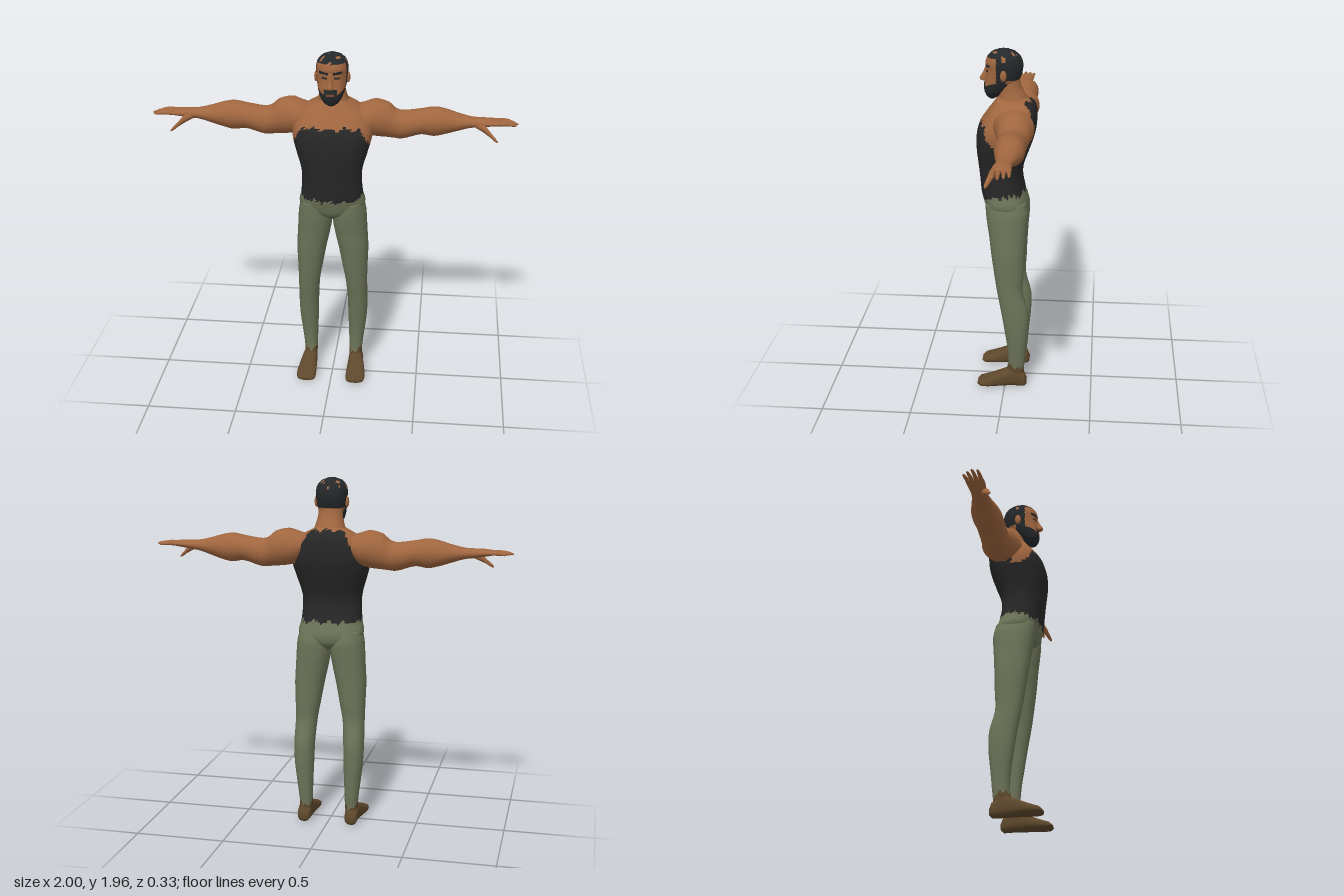
import * as THREE from 'three';

const mat = (name, color) => {
  const m = new THREE.MeshStandardMaterial({ color });
  m.name = name;
  return m;
};

// Smooth interpolation through the cross-section table
function refine(sections, sub) {
  const out = [], n = sections.length;
  const at = (i) => sections[Math.min(n - 1, Math.max(0, i))];
  for (let i = 0; i < n - 1; i++) {
    for (let k = 0; k < sub; k++) {
      const t = k / sub;
      out.push(at(i).map((b, j) => {
        const c = at(i + 1)[j];
        if (j === 0) return b + (c - b) * t;
        const m0 = (c - at(i - 1)[j]) / 2, m1 = (at(i + 2)[j] - b) / 2;
        return b + t * m0 + t * t * (3 * (c - b) - 2 * m0 - m1) + t ** 3 * (2 * (b - c) + m0 + m1);
      }));
    }
  }
  out.push(at(n - 1));
  return out;
}

const AXES = {
  x: (t, u, v) => [t, u, v],
  y: (t, u, v) => [u, t, v],
  z: (t, u, v) => [u, v, t],
};

// Closed loft. Each section is [position, uMin, uMax, vMin, vMax];
// paint(x, y, z) picks the material index of each face.
function loft(name, axis, sections, materials, { segs = 32, sub = 4, power = 2, side = 1, paint = () => 0 } = {}) {
  const rows = refine(sections, sub), pos = [], tris = [];
  const put = (t, u, v) => {
    const p = AXES[axis](t, u, v);
    pos.push(p[0] * side, p[1], p[2]);
  };
  const bend = (c) => Math.sign(c) * Math.abs(c) ** (2 / power);
  for (const [t, u0, u1, v0, v1] of rows) {
    for (let j = 0; j < segs; j++) {
      const a = (j / segs) * Math.PI * 2;
      put(t, (u0 + u1) / 2 + (u1 - u0) / 2 * bend(Math.cos(a)), (v0 + v1) / 2 + (v1 - v0) / 2 * bend(Math.sin(a)));
    }
  }
  const last = rows.length - 1, c0 = rows.length * segs;
  for (const r of [rows[0], rows[last]]) put(r[0], (r[1] + r[2]) / 2, (r[3] + r[4]) / 2);
  for (let j = 0; j < segs; j++) {
    const k = (j + 1) % segs;
    for (let i = 0; i < last; i++) {
      const a = i * segs + j, b = i * segs + k;
      tris.push([a, a + segs, b], [b, a + segs, b + segs]);
    }
    tris.push([c0, j, k], [c0 + 1, last * segs + k, last * segs + j]);
  }
  // Outward winding from the signed volume
  const P = (i) => new THREE.Vector3(pos[3 * i], pos[3 * i + 1], pos[3 * i + 2]);
  const origin = P(c0);
  let volume = 0;
  const buckets = materials.map(() => []);
  for (const tri of tris) {
    const [a, b, c] = tri.map(P);
    const m = a.clone().add(b).add(c).divideScalar(3);
    buckets[paint(m.x, m.y, m.z)].push(tri);
    volume += a.sub(origin).dot(b.sub(origin).cross(c.sub(origin)));
  }
  const geo = new THREE.BufferGeometry(), index = [];
  buckets.forEach((list, i) => {
    geo.addGroup(index.length, list.length * 3, i);
    for (const [a, b, c] of list) index.push(a, ...(volume < 0 ? [c, b] : [b, c]));
  });
  geo.setAttribute('position', new THREE.Float32BufferAttribute(pos, 3));
  geo.setIndex(index);
  geo.computeVertexNormals();
  const mesh = new THREE.Mesh(geo, materials.length > 1 ? materials : materials[0]);
  mesh.name = name;
  return mesh;
}

export function createModel() {
  const g = new THREE.Group();
  g.name = 'man';
  const skin = mat('skin', 0xa0663f), lips = mat('lips', 0x804a35), hair = mat('hair', 0x25282a);
  const shirt = mat('shirt', 0x272727), pants = mat('pants', 0x6d7458), shoe = mat('footBrown', 0x5e482c);
  const jag = (x, z) => 0.01 * Math.sin(75 * x + 2) + 0.008 * Math.sin(150 * z + 190 * x);

  // Torso: pants below the ragged hem, shirt, then bare upper chest
  const sym = (rows) => rows.map(([y, w, f, b]) => [y, -w, w, b, f]);
  g.add(loft('torso', 'y', sym([
    [1.01, 0.04, 0.05, -0.07], [1.05, 0.13, 0.1, -0.112], [1.1, 0.182, 0.12, -0.122],
    [1.17, 0.171, 0.138, -0.105], [1.25, 0.165, 0.146, -0.09], [1.32, 0.169, 0.154, -0.096],
    [1.42, 0.197, 0.164, -0.13], [1.5, 0.217, 0.162, -0.156], [1.56, 0.215, 0.145, -0.165],
    [1.62, 0.187, 0.105, -0.165], [1.66, 0.14, 0.075, -0.155], [1.69, 0.085, 0.055, -0.125],
    [1.71, 0.05, 0.03, -0.09],
  ]), [pants, shirt, skin], {
    segs: 72, sub: 5, power: 2.4,
    paint: (x, y, z) => {
      const w = Math.abs(x), j = jag(x, z);
      if (y < 1.162 - 0.13 * z + j) return 0;
      const front = 1.57 - 1.6 * Math.max(0, w - 0.15);
      const back = 1.685 - 1.6 * Math.max(0, w - 0.09);
      const top = z > 0 ? front : z < -0.1 ? back : 1.5;
      return y < top + j * 0.7 ? 1 : 2;
    },
  }));
  g.add(loft('neck', 'y', sym([
    [1.6, 0.12, 0.085, -0.145], [1.66, 0.1, 0.06, -0.135], [1.7, 0.082, 0.045, -0.11],
    [1.75, 0.069, 0.04, -0.082], [1.82, 0.064, 0.04, -0.066],
  ]), [skin]));

  // Head with painted hair, beard, brows and eyes
  g.add(loft('head', 'y', sym([
    [1.688, 0.018, 0.095, 0.065], [1.7, 0.036, 0.108, 0.045], [1.725, 0.055, 0.12, 0.015],
    [1.76, 0.069, 0.124, -0.03], [1.79, 0.077, 0.119, -0.065], [1.82, 0.081, 0.114, -0.08],
    [1.86, 0.085, 0.112, -0.088], [1.89, 0.085, 0.114, -0.086], [1.92, 0.077, 0.103, -0.073],
    [1.945, 0.054, 0.077, -0.045], [1.957, 0.025, 0.045, -0.015],
  ]), [skin, hair, lips], {
    segs: 96, sub: 6, power: 2.2,
    paint: (x, y, z) => {
      const w = Math.abs(x);
      if (z > 0.08 && w < 0.022 && y > 1.75 && y < 1.762) return 2;
      if (y > 1.9 && Math.sin(75 * x + 2) * Math.sin(62 * z + 1) + 0.3 * Math.sin(150 * (x + z)) > 0.72) return 0;
      if (y > 1.917 || (y > 1.8 && z < 0.03)) return 1;
      if (y > 1.77 && z > 0 && z < 0.052) return 1;
      if (z > -0.005 && y < (w < 0.035 ? 1.785 : 1.745 + 0.7 * (w - 0.02))) return 1;
      if (z > 0.05 && w > 0.012 && w < 0.062 && Math.abs(y - 1.868 - 0.1 * w) < 0.007) return 1;
      if (z > 0.05 && w > 0.02 && w < 0.048 && Math.abs(y - 1.846) < 0.005) return 1;
      return 0;
    },
  }));
  g.add(loft('nose', 'y', sym([
    [1.783, 0.012, 0.128, 0.1], [1.79, 0.019, 0.143, 0.1], [1.8, 0.017, 0.146, 0.1],
    [1.83, 0.011, 0.129, 0.095], [1.868, 0.01, 0.115, 0.09],
  ]), [skin], { segs: 16 }));

  for (const side of [1, -1]) {
    const pre = side > 0 ? 'left' : 'right';
    const add = (name, axis, rows, mats, opts = {}) => g.add(loft(pre + name, axis, rows, mats, { side, ...opts }));

    const ear = new THREE.Mesh(new THREE.SphereGeometry(1, 14, 10), skin);
    ear.name = pre + 'Ear';
    ear.scale.set(0.012, 0.03, 0.018);
    ear.position.set(side * 0.085, 1.828, 0.012);
    g.add(ear);

    // Arm from shoulder to palm
    add('Arm', 'x', [
      [0.1, 1.56, 1.65, -0.12, 0.01], [0.17, 1.5, 1.668, -0.153, 0.055], [0.23, 1.482, 1.685, -0.165, 0.048],
      [0.3, 1.475, 1.668, -0.152, 0.03], [0.34, 1.471, 1.635, -0.142, 0.022], [0.38, 1.47, 1.625, -0.138, 0.02],
      [0.48, 1.498, 1.638, -0.138, 0.02], [0.55, 1.49, 1.65, -0.14, 0.02], [0.61, 1.503, 1.64, -0.136, 0.012],
      [0.67, 1.522, 1.622, -0.12, 0.003], [0.74, 1.543, 1.606, -0.1, -0.008], [0.79, 1.55, 1.602, -0.092, -0.007],
      [0.84, 1.558, 1.601, -0.094, 0], [0.885, 1.566, 1.596, -0.097, 0.002], [0.905, 1.573, 1.591, -0.09, -0.003],
    ], [skin]);

    // Fingers: root z, tip z, tip x
    [[-0.083, -0.091, 0.965], [-0.06, -0.066, 0.985], [-0.036, -0.038, 1], [-0.012, -0.01, 0.99]].forEach(([z0, z1, tip], i) => {
      const row = (t, y, r) => {
        const z = z0 + (z1 - z0) * t;
        return [0.87 + (tip - 0.87) * t, y - r, y + r, z - r, z + r];
      };
      add('Finger' + (i + 1), 'x', [row(0, 1.581, 0.011), row(0.5, 1.582, 0.01), row(0.9, 1.578, 0.007), row(1, 1.576, 0.003)],
        [skin], { segs: 12, sub: 3 });
    });
    add('Thumb', 'x', [
      [0.775, 1.55, 1.585, -0.04, -0.008], [0.82, 1.53, 1.574, -0.028, 0.012], [0.85, 1.514, 1.543, -0.004, 0.024],
      [0.88, 1.494, 1.514, 0.015, 0.035], [0.892, 1.49, 1.5, 0.024, 0.035],
    ], [skin], { segs: 14 });

    // Trouser leg with ragged cuff over the ankle
    add('Leg', 'y', [
      [0.05, 0.1, 0.172, -0.112, 0], [0.1, 0.096, 0.17, -0.11, -0.012], [0.15, 0.095, 0.173, -0.115, -0.02],
      [0.25, 0.092, 0.185, -0.123, -0.014], [0.36, 0.088, 0.197, -0.133, 0.002], [0.47, 0.085, 0.2, -0.132, 0.02],
      [0.6, 0.075, 0.198, -0.101, 0.044], [0.7, 0.057, 0.2, -0.105, 0.06], [0.82, 0.035, 0.203, -0.11, 0.077],
      [0.93, 0.012, 0.197, -0.117, 0.09], [1, 0.001, 0.193, -0.123, 0.101], [1.06, 0, 0.188, -0.124, 0.108],
      [1.12, 0.02, 0.176, -0.11, 0.11],
    ], [pants, shoe], {
      segs: 40, sub: 6, power: 2.2,
      paint: (x, y, z) => (y < 0.118 + 0.3 * (z + 0.06) + 1.3 * jag(x, z) ? 1 : 0),
    });
    add('Foot', 'z', [
      [-0.126, 0.118, 0.158, 0.012, 0.05], [-0.113, 0.103, 0.173, 0, 0.08], [-0.05, 0.096, 0.176, 0, 0.115],
      [0, 0.093, 0.185, 0, 0.1], [0.05, 0.09, 0.194, 0, 0.077], [0.1, 0.088, 0.2, 0, 0.056],
      [0.14, 0.092, 0.194, 0.002, 0.042], [0.156, 0.105, 0.175, 0.01, 0.028],
    ], [shoe], { power: 2.6 });
  }
  return g;
}
